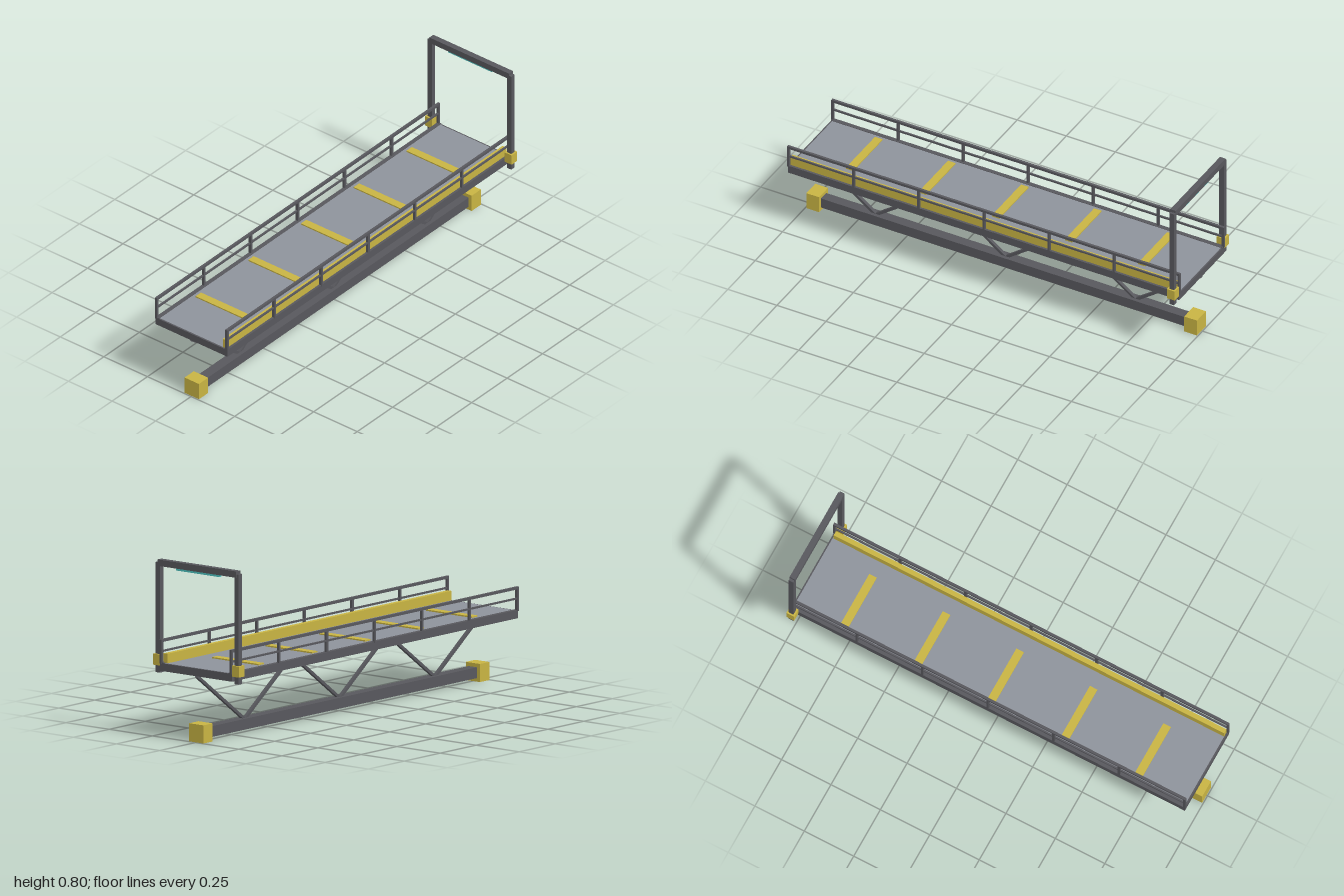
import * as THREE from 'three';

const mat = (name, color) => new THREE.MeshStandardMaterial({ name, color });

export function createModel() {
  const steel = mat('dark steel', 0x58585d);
  const plate = mat('deck grey', 0x8e939b);
  const yellow = mat('safety yellow', 0xc8b443);
  const lamp = mat('cyan lamp', 0x4fc6c4);

  const model = new THREE.Group();
  model.name = 'walkway';

  // Box given by its min and max on each axis
  const box = (name, material, [x0, x1], [y0, y1], [z0, z1], parent = model) => {
    const mesh = new THREE.Mesh(new THREE.BoxGeometry(x1 - x0, y1 - y0, z1 - z0), material);
    mesh.position.set((x0 + x1) / 2, (y0 + y1) / 2, (z0 + z1) / 2);
    mesh.name = name;
    parent.add(mesh);
    return mesh;
  };
  const group = (name) => {
    const g = new THREE.Group();
    g.name = name;
    model.add(g);
    return g;
  };
  // The same x range on either side
  const side = (s, a, b) => (s > 0 ? [a, b] : [-b, -a]);

  // Deck with its frame
  const deck = group('deck');
  box('deckPlate', plate, [-0.187, 0.187], [0.327, 0.338], [-0.99, 0.99], deck);
  for (const s of [1, -1]) {
    box('sideBeam', steel, side(s, 0.187, 0.207), [0.302, 0.34], [-0.997, 0.997], deck);
    box('endBeam', steel, [-0.187, 0.187], [0.302, 0.337], side(s, 0.972, 0.997), deck);
  }
  for (let i = -2; i <= 2; i++) {
    const z = i / 3;
    box('crossBeam', steel, [-0.187, 0.187], [0.304, 0.327], [z - 0.013, z + 0.013], deck);
  }

  // Raised tread strips and the kick plate
  for (let i = -2; i <= 2; i++) {
    const z = i * 0.372 - 0.002;
    box('treadStrip', yellow, [-0.168, 0.1], [0.338, 0.344], [z - 0.019, z + 0.019]);
  }
  box('kickPlate', yellow, [0.174, 0.196], [0.337, 0.381], [-0.985, 0.99]);

  // Handrails on both sides
  for (const s of [1, -1]) {
    const rail = group(s > 0 ? 'leftRailing' : 'rightRailing');
    const x = side(s, 0.196, 0.208);
    box('topRail', steel, x, [0.433, 0.445], [-1, 1], rail);
    box('midRail', steel, side(s, 0.198, 0.206), [0.387, 0.395], [-0.995, 0.995], rail);
    for (let i = -3; i <= 3; i++) {
      const z = i * 0.3315;
      box('railPost', steel, x, [0.335, 0.436], [z - 0.0055, z + 0.0055], rail);
    }
  }

  // Zigzag truss below the deck
  const truss = group('truss');
  box('bottomChord', steel, [-0.024, 0.024], [0.018, 0.067], [-0.985, 0.985], truss);
  for (let i = 0; i < 6; i++) {
    const [z0, z1] = [0.993 - i * 0.331, 0.993 - (i + 1) * 0.331];
    const [y0, y1] = i % 2 ? [0.06, 0.302] : [0.302, 0.06];
    const bar = box('diagonal', steel, [-0.0075, 0.0075], [-0.0065, 0.0065],
      [-Math.hypot(z1 - z0, y1 - y0) / 2, Math.hypot(z1 - z0, y1 - y0) / 2], truss);
    bar.position.set(0, (y0 + y1) / 2, (z0 + z1) / 2);
    bar.rotation.x = Math.atan2(y1 - y0, z0 - z1);
  }
  for (const s of [1, -1]) {
    box('endBlock', yellow, [-0.041, 0.041], [0.002, 0.084], side(s, 0.93, 0.995), truss);
  }

  // Portal at the back end
  const portal = group('portal');
  for (const s of [1, -1]) {
    box('portalPost', steel, side(s, 0.216, 0.24), [0.291, 0.79], [-0.989, -0.965], portal);
    box('portalClamp', yellow, side(s, 0.208, 0.248), [0.325, 0.375], [-0.997, -0.957], portal);
  }
  box('portalBeam', steel, [-0.228, 0.228], [0.774, 0.803], [-0.991, -0.963], portal);
  box('portalLamp', lamp, [-0.125, 0.125], [0.764, 0.774], [-0.985, -0.969], portal);

  // Rest the end blocks on the ground
  model.children.forEach((part) => { part.position.y -= 0.002; });
  return model;
}
